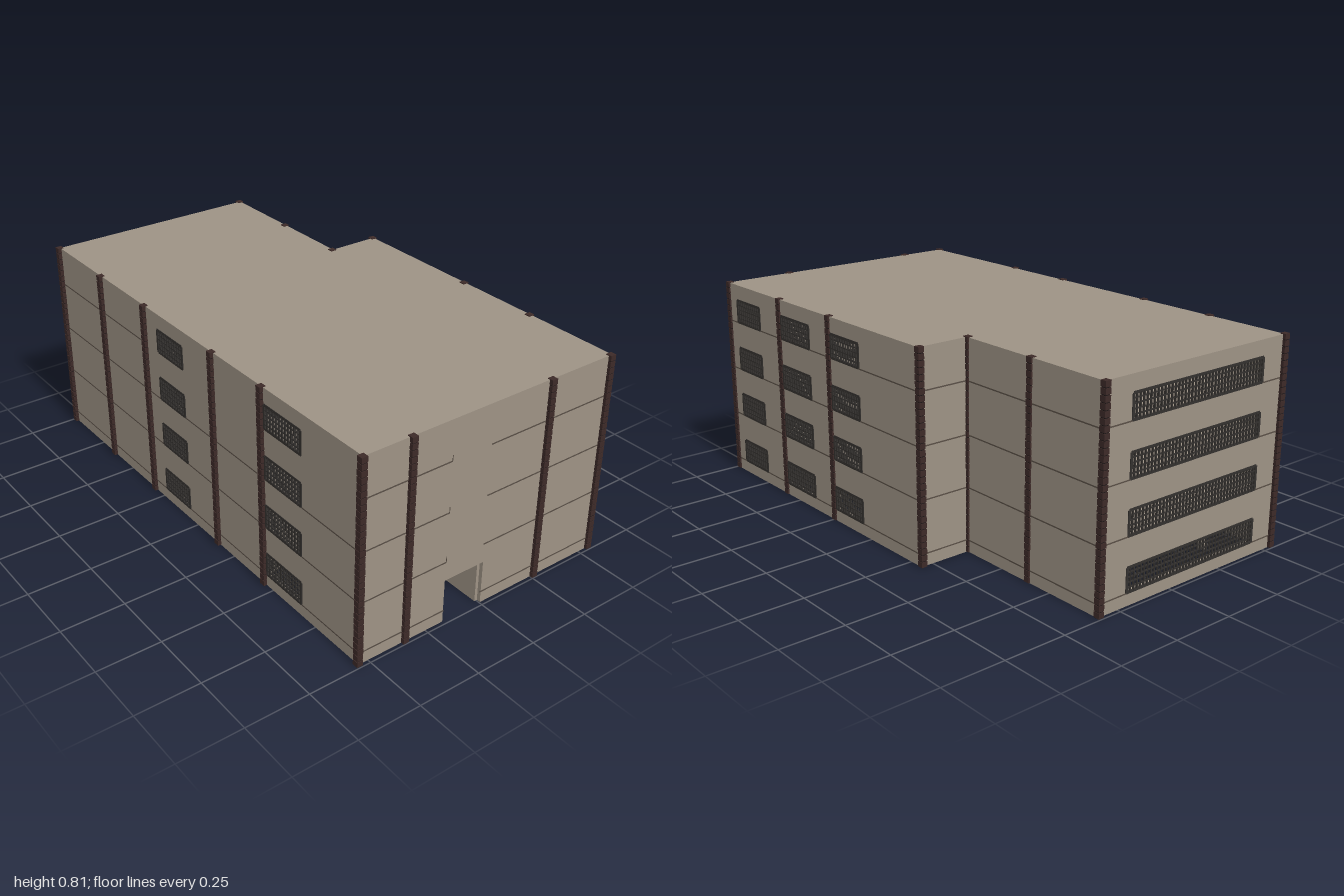
import * as THREE from 'three';
import { mergeGeometries } from 'three/addons/utils/BufferGeometryUtils.js';

const H = 0.81, T = 0.02;
const FLOORS = [0.05, 0.255, 0.455, 0.655];
const mat = (name, color) => Object.assign(new THREE.MeshStandardMaterial({ color }), { name });

export function createModel() {
  const plaster = mat('taupe plaster', 0x9e9385);
  const brick = mat('dark brown brick', 0x3d2a28);
  const joint = mat('black mortar', 0x1c1616);
  const iron = mat('dark window grille', 0x34312f);
  const seam = mat('floor line', 0x5a5047);

  const model = new THREE.Group();
  model.name = 'building';

  const add = (parent, name, geometry, material) => {
    const mesh = new THREE.Mesh(geometry, material);
    mesh.name = name;
    parent.add(mesh);
    return mesh;
  };
  // Box given by its min and max corners
  const block = (x0, x1, y0, y1, z0, z1) =>
    new THREE.BoxGeometry(x1 - x0, y1 - y0, z1 - z0)
      .translate((x0 + x1) / 2, (y0 + y1) / 2, (z0 + z1) / 2);
  const outline = (points, Type = THREE.Shape) => new Type(points.map(p => new THREE.Vector2(...p)));
  const rect = (x0, x1, y0, y1) => [[x0, y0], [x1, y0], [x1, y1], [x0, y1]];

  // Window grille of crossing bars with an outer frame
  const grille = (u0, u1, y0, y1) => {
    const bars = [];
    const nx = Math.round((u1 - u0) / 0.0165), ny = 5;
    for (let i = 0; i <= nx; i++) {
      const u = u0 + (u1 - u0) * i / nx, w = i % nx ? 0.0023 : 0.005;
      bars.push(block(u - w, u + w, y0, y1, -0.004, 0.003));
    }
    for (let j = 0; j <= ny; j++) {
      const y = y0 + (y1 - y0) * j / ny, w = j % ny ? 0.0023 : 0.005;
      bars.push(block(u0, u1, y - w, y + w, -0.003, 0.002));
    }
    return mergeGeometries(bars);
  };

  // Outer walls: u runs to the right as seen from outside, d is the distance from the centre.
  // Each floor line is [u0, u1, number of floors it appears on]
  const walls = [
    { name: 'frontWall', ry: 0, d: 0.54, u: [-0.985, 0.985],
      windows: [[-0.22, -0.05], [0.465, 0.67]],
      seams: [[-0.985, -0.31, 4], [-0.31, 0.985, 3]], columns: [-0.985, -0.64, -0.31, 0.15, 0.45, 0.985] },
    { name: 'rightWall', ry: Math.PI / 2, d: 0.985, u: [-0.54, 0.55], door: [-0.172, 0.004],
      seams: [[-0.54, -0.17, 4], [0, 0.55, 4]], columns: [-0.345, 0.26] },
    { name: 'backWall', ry: Math.PI, d: 0.55, u: [-0.985, 0.31],
      windows: [[-0.92, -0.745], [-0.58, -0.38], [-0.23, -0.05]],
      seams: [[-0.985, 0.31, 4]], columns: [-0.985, -0.595, -0.245, 0.31] },
    { name: 'notchWall', ry: -Math.PI / 2, d: 0.31, u: [-0.55, -0.34],
      seams: [[-0.55, -0.34, 4]], columns: [] },
    { name: 'wingBackWall', ry: Math.PI, d: 0.34, u: [0.31, 0.985],
      seams: [[0.31, 0.985, 4]], columns: [0.31, 0.64, 0.985] },
    { name: 'leftWall', ry: -Math.PI / 2, d: 0.985, u: [-0.34, 0.54],
      windows: [[-0.21, 0.43]], seams: [[-0.34, 0.54, 4]], columns: [] },
  ];

  // Brick column: stacked blocks around a mortar core
  const ROWS = 33, step = 0.815 / ROWS;
  const stack = mergeGeometries(Array.from({ length: ROWS }, (_, i) =>
    block(-0.012, 0.012, i * step + 0.002, (i + 1) * step - 0.002, -0.012, 0.012)));
  const core = block(-0.0095, 0.0095, 0, 0.812, -0.0095, 0.0095);

  for (const w of walls) {
    const side = new THREE.Group();
    side.name = w.name;
    side.rotation.y = w.ry;
    model.add(side);
    const face = new THREE.Group();
    face.name = w.name + 'Face';
    face.position.z = w.d;
    side.add(face);

    const [a, b] = w.u;
    const shape = outline(w.door
      ? [[a, 0], [w.door[0], 0], [w.door[0], 0.175], [w.door[1], 0.175], [w.door[1], 0], [b, 0], [b, H - 0.002], [a, H - 0.002]]
      : rect(a, b, 0, H - 0.002));
    for (const [u0, u1] of w.windows || []) {
      for (const y of FLOORS) {
        shape.holes.push(outline(rect(u0, u1, y, y + 0.091), THREE.Path));
        add(face, 'windowGrille', grille(u0, u1, y, y + 0.091), iron);
      }
    }
    add(face, 'wall', new THREE.ExtrudeGeometry(shape, { depth: T, bevelEnabled: false }).translate(0, 0, -T), plaster);

    for (const [u0, u1, count] of w.seams)
      for (const y of FLOORS.slice(0, count))
        add(face, 'floorLine', block(u0, u1, y - 0.005, y, -0.002, 0.001), seam);
    if (w.door)
      for (const y of FLOORS.slice(1))
        add(face, 'stairMark', block(-0.172, -0.169, y, y + 0.02, -0.002, 0.001), seam);

    for (const u of w.columns) {
      const column = new THREE.Group();
      column.name = 'brickColumn';
      column.position.set(u, 0, w.ry === Math.PI ? -0.005 : 0.002);
      add(column, 'bricks', stack, brick);
      add(column, 'mortar', core, joint);
      face.add(column);
    }
  }

  // Floor slabs and roof share the L-shaped plan
  const slab = (name, top, thick, i) => {
    const shape = outline([[-0.985 + i, -0.54 + i], [0.985 - i, -0.54 + i], [0.985 - i, 0.55 - i],
      [-0.31 + i, 0.55 - i], [-0.31 + i, 0.34 - i], [-0.985 + i, 0.34 - i]]);
    const g = new THREE.ExtrudeGeometry(shape, { depth: thick, bevelEnabled: false });
    add(model, name, g.rotateX(-Math.PI / 2).translate(0, top - thick, 0), plaster);
  };
  slab('roof', H, 0.02, 0);
  slab('firstFloor', 0.25, 0.02, 0.01);
  slab('secondFloor', 0.45, 0.02, 0.01);
  slab('thirdFloor', 0.65, 0.02, 0.01);

  // Hall in the wing: square frame of beams on four posts
  for (const x of [-0.84, -0.36]) {
    add(model, 'hallBeam', block(x - 0.012, x + 0.012, 0.2, 0.235, -0.2, 0.34), plaster);
    for (const z of [-0.2, 0.34])
      add(model, 'hallPost', block(x - 0.012, x + 0.012, 0, 0.235, z - 0.012, z + 0.012), plaster);
  }
  for (const z of [-0.2, 0.34])
    add(model, 'hallBeam', block(-0.84, -0.36, 0.2, 0.235, z - 0.012, z + 0.012), plaster);

  // Ground-floor partitions with door gaps
  const alongX = [[-0.25, 0.0, 0.97], [0.0, 0.62, 0.97], [0.0, 0.2, 0.52], [0.0, -0.28, 0.1],
    [0.18, 0.72, 0.97], [0.18, 0.3, 0.62], [0.18, -0.28, 0.2]];
  for (const [z, x0, x1] of alongX)
    add(model, 'partition', block(x0, x1, 0, 0.235, z - 0.008, z + 0.008), plaster);
  const alongZ = [[0.0, -0.53, -0.25], [0.2, -0.25, 0], [0.6, -0.25, 0], [0.4, 0.18, 0.52],
    [0.1, 0.18, 0.52], [-0.29, -0.34, 0.19]];
  for (const [x, z0, z1] of alongZ)
    add(model, 'partition', block(x - 0.008, x + 0.008, 0, 0.235, z0, z1), plaster);

  return model;
}
